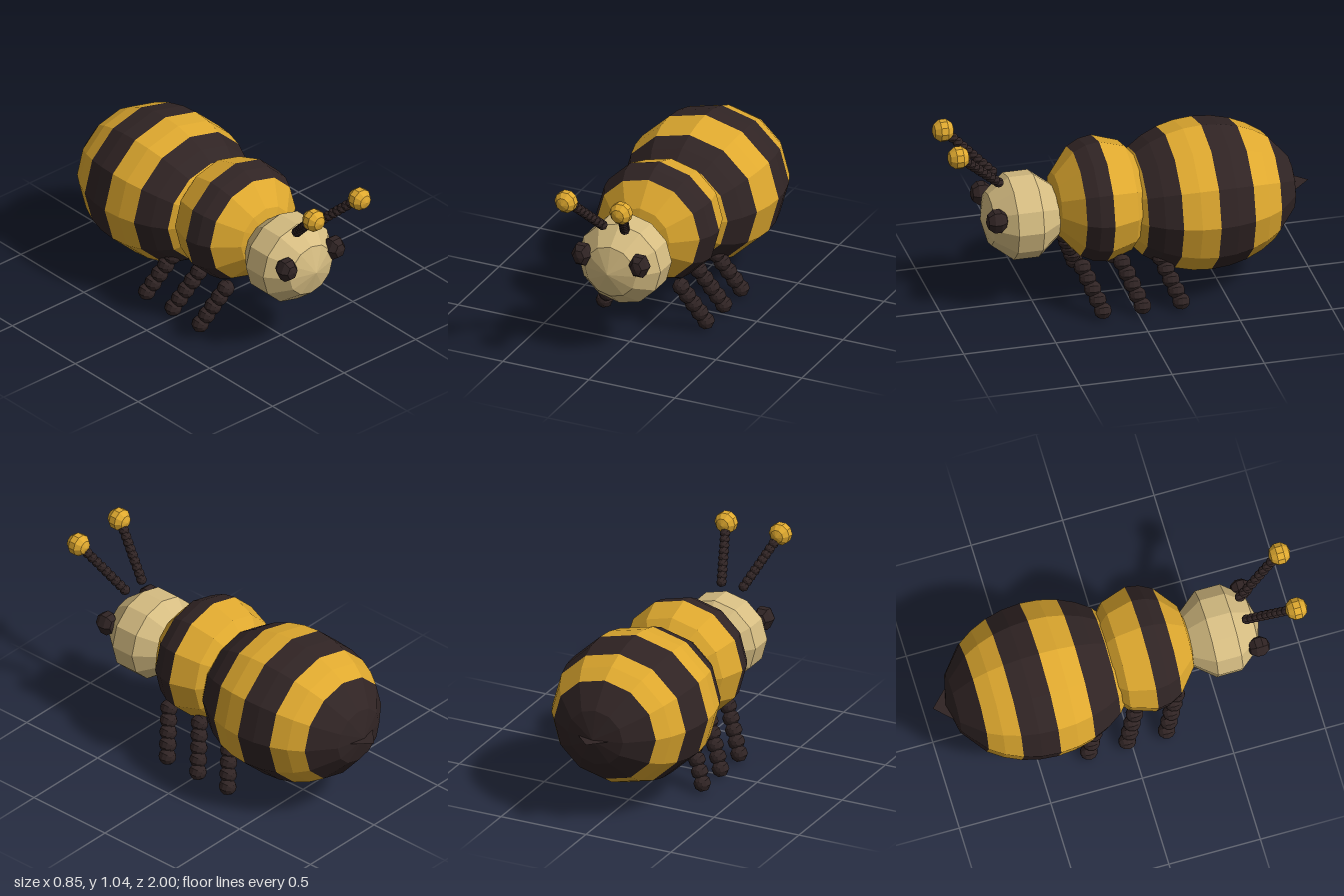
import * as THREE from 'three';

const flat = (name, color) => {
  const m = new THREE.MeshStandardMaterial({ color, flatShading: true });
  m.name = name;
  return m;
};

export function createModel() {
  const yellow = flat('honey yellow', 0xdfa92f);
  const black = flat('soft black', 0x302424);
  const tan = flat('pale tan', 0xd6bd82);
  const bee = new THREE.Group();
  bee.name = 'bee';

  // Faceted ellipsoid with its poles along z, made of coloured bands;
  // each band is [number of rings, material], listed from front to back.
  const banded = (name, center, radii, sides, rings, bands) => {
    const group = new THREE.Group();
    group.name = name;
    const step = Math.PI / rings;
    let ring = 0;
    for (const [count, material] of bands) {
      const geo = new THREE.SphereGeometry(1, sides, count, 0, Math.PI * 2, ring * step, count * step);
      geo.rotateX(Math.PI / 2);
      geo.scale(...radii);
      const mesh = new THREE.Mesh(geo, material);
      mesh.name = name + 'Band';
      group.add(mesh);
      ring += count;
    }
    group.position.set(...center);
    bee.add(group);
    return group;
  };

  // Row of beads from one point to another
  const beads = (name, from, to, count, radius) => {
    const group = new THREE.Group();
    group.name = name;
    const geo = new THREE.SphereGeometry(radius, 8, 6);
    geo.rotateX(Math.PI / 2);
    const a = new THREE.Vector3(...from);
    const b = new THREE.Vector3(...to);
    for (let i = 0; i < count; i++) {
      const bead = new THREE.Mesh(geo, black);
      bead.name = name + 'Bead';
      bead.position.lerpVectors(a, b, i / (count - 1));
      group.add(bead);
    }
    bee.add(group);
  };

  // Body
  banded('abdomen', [0, 0.515, -0.42], [0.425, 0.4, 0.51], 12, 8,
    [[2, yellow], [1, black], [1, yellow], [1, black], [1, yellow], [2, black]]);
  banded('thorax', [0, 0.557, 0.135], [0.345, 0.333, 0.28], 12, 6,
    [[2, yellow], [1, black], [3, yellow]]);
  banded('head', [0, 0.515, 0.56], [0.252, 0.242, 0.22], 12, 5, [[5, tan]]);

  // Flat stinger
  const tri = new THREE.Shape([
    new THREE.Vector2(-0.09, 0.91), new THREE.Vector2(0.09, 0.91), new THREE.Vector2(0, 1),
  ]);
  const stingerMaterial = black.clone();
  stingerMaterial.name = 'soft black two-sided';
  stingerMaterial.side = THREE.DoubleSide;
  const stinger = new THREE.Mesh(new THREE.ShapeGeometry(tri).rotateX(-Math.PI / 2), stingerMaterial);
  stinger.name = 'stinger';
  stinger.position.y = 0.515;
  bee.add(stinger);

  // Mirrored parts
  for (const [side, s] of [['left', 1], ['right', -1]]) {
    banded(side + 'Eye', [s * 0.167, 0.583, 0.732], [0.058, 0.069, 0.06], 6, 5, [[5, black]]);
    beads(side + 'Antenna', [s * 0.065, 0.757, 0.698], [s * 0.152, 0.965, 0.915], 10, 0.028);
    banded(side + 'AntennaTip', [s * 0.16, 0.984, 0.94], [0.063, 0.063, 0.06], 10, 5, [[5, yellow]]);
    [['front', 0.275], ['middle', 0.06], ['rear', -0.15]].forEach(([place, z]) =>
      beads(`${place}${side === 'left' ? 'Left' : 'Right'}Leg`,
        [s * 0.19, 0.263, z], [s * 0.295, 0.047, z - 0.083], 5, 0.047));
  }
  return bee;
}
